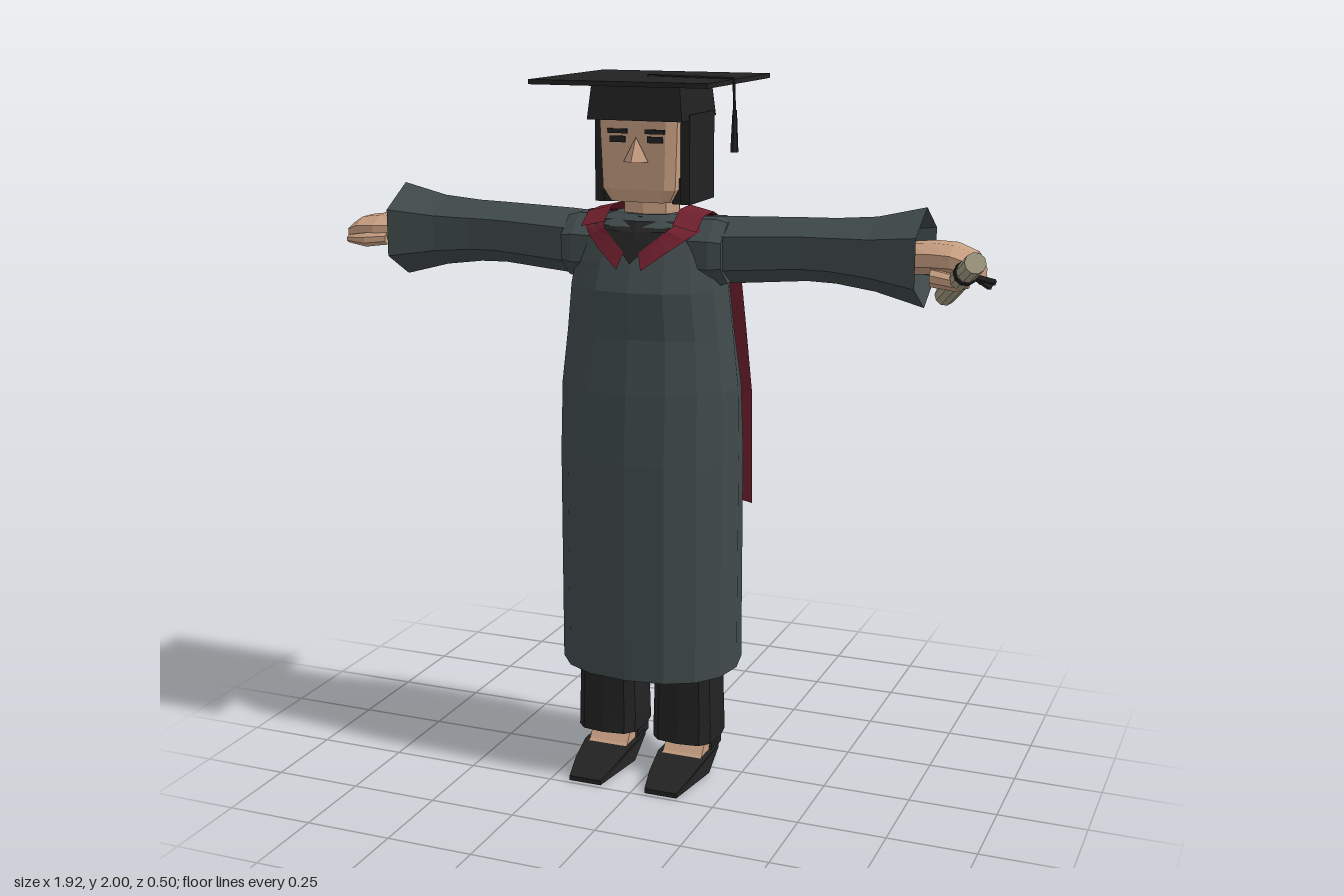
import * as THREE from 'three';

const CX = -0.03; // body centre line
const mat = (name, color, side = THREE.FrontSide) => {
  const m = new THREE.MeshStandardMaterial({ color, side });
  m.name = name;
  return m;
};

export function createModel() {
  const DS = THREE.DoubleSide;
  const robe = mat('gown grey', 0x404a4b, DS);
  const black = mat('black', 0x222222, DS);
  const red = mat('hood red', 0x6f1f2d, DS);
  const skin = mat('skin', 0xc79e81);
  const paper = mat('parchment', 0xa39c83);
  const model = new THREE.Group();

  // faceted mesh
  const add = (name, geo, m, parent = model) => {
    const g = geo.index ? geo.toNonIndexed() : geo;
    g.computeVertexNormals();
    const mesh = new THREE.Mesh(g, m);
    mesh.name = name;
    parent.add(mesh);
    return mesh;
  };
  const box = (name, m, x0, x1, y0, y1, z0, z1) => {
    const b = add(name, new THREE.BoxGeometry(x1 - x0, y1 - y0, z1 - z0), m);
    b.position.set((x0 + x1) / 2, (y0 + y1) / 2, (z0 + z1) / 2);
    return b;
  };
  // surface through rows of points; closed rows become a tube, caps optional
  const skinRows = (rows, closed, capStart, capEnd) => {
    const p = [];
    const tri = (...v) => v.forEach(q => p.push(...q));
    const n = rows[0].length;
    for (let i = 0; i < rows.length - 1; i++) {
      for (let j = 0; j < (closed ? n : n - 1); j++) {
        const k = (j + 1) % n;
        const a = rows[i][j], b = rows[i][k], c = rows[i + 1][k], d = rows[i + 1][j];
        tri(a, b, c);
        tri(a, c, d);
      }
    }
    const cap = (r, flip) => {
      const c = [0, 1, 2].map(i => r.reduce((s, q) => s + q[i], 0) / n);
      r.forEach((q, j) => (flip ? tri(c, r[(j + 1) % n], q) : tri(c, q, r[(j + 1) % n])));
    };
    if (capStart) cap(rows[0], true);
    if (capEnd) cap(rows[rows.length - 1], false);
    const g = new THREE.BufferGeometry();
    g.setAttribute('position', new THREE.Float32BufferAttribute(p, 3));
    return g;
  };
  const pw = (v, e) => Math.sign(v) * Math.abs(v) ** e;
  // upright ring: centre x, y, half width, front and back depth
  const ringY = (x, y, hx, zf, zb, n, e, turn = 0) => Array.from({ length: n }, (_, j) => {
    const t = ((j + turn) / n) * Math.PI * 2, c = pw(Math.cos(t), e);
    return [x + hx * pw(Math.sin(t), e), y, c * (c > 0 ? zf : zb)];
  });
  // ring across an arm: side, distance from the centre line, centre y and z, half sizes
  const ringX = (s, d, y, z, hy, hz, n, turn = 0) => Array.from({ length: n }, (_, j) => {
    const t = s * ((j + turn) / n) * Math.PI * 2;
    return [CX + s * d, y + hy * Math.cos(t), z + hz * Math.sin(t)];
  });

  // gown: y, half width, front depth, back depth
  const N = 2.3;
  const body = [
    [0.325, 0.26, 0.215, 0.21], [0.95, 0.26, 0.215, 0.2], [1.15, 0.256, 0.2, 0.17],
    [1.3, 0.24, 0.18, 0.125], [1.43, 0.225, 0.188, 0.12], [1.5, 0.215, 0.16, 0.115],
    [1.6, 0.19, 0.118, 0.1], [1.63, 0.1, 0.08, 0.075]];
  add('gown', skinRows(body.map(([y, w, f, b]) => ringY(CX, y, w, f, b, 16, 2 / N)), true, false, true), robe);
  // front depth of the gown at a point, for laying trim on it
  const chestZ = (x, y) => {
    const i = Math.max(0, body.findIndex(r => r[0] >= y) - 1);
    const a = body[i], b = body[i + 1], k = (y - a[0]) / (b[0] - a[0]);
    const w = a[1] + (b[1] - a[1]) * k, f = a[2] + (b[2] - a[2]) * k;
    return f * Math.max(0, 1 - Math.abs(x / w) ** N) ** (1 / N);
  };
  const trim = (name, m, edgeA, edgeB, lift) => {
    const at = ([p, q], k) => {
      const x = p[0] + (q[0] - p[0]) * k, y = p[1] + (q[1] - p[1]) * k;
      return [CX + x, y, chestZ(x, y) + lift];
    };
    const rows = [0, 0.25, 0.5, 0.75, 1].map(k => {
      const a = at(edgeA, k), b = at(edgeB, k);
      return [a, a.map((v, i) => (v + b[i]) / 2), b];
    });
    return add(name, skinRows(rows, false), m);
  };

  for (const s of [-1, 1]) {
    const side = s > 0 ? 'left' : 'right';
    // flared hexagonal sleeve
    const sleeve = [[0.13, 1.535, 0.085], [0.24, 1.535, 0.092], [0.45, 1.548, 0.086],
      [0.53, 1.548, 0.088], [0.64, 1.545, 0.1], [0.772, 1.543, 0.133]];
    add(side + 'Sleeve', skinRows(sleeve.map(([d, y, r]) => ringX(s, d, y, 0, r, r, 6)), true), robe);
    // shoulder seam piece
    add(side + 'Shoulder', skinRows([[0.13, 0.095], [0.2, 0.1], [0.235, 0.09]].map(
      ([d, r]) => ringX(s, d, 1.53, 0, r, r * 1.15, 8, 0.5)), true, false, true), robe);

    // hood strip on the chest and over the shoulder
    trim(side + 'HoodFront', red, [[s * 0.175, 1.595], [s * 0.035, 1.49]], [[s * 0.115, 1.615], [s * 0.022, 1.535]], 0.012);
    const over = [[1.6, 0.105], [1.637, 0.05], [1.64, -0.03], [1.61, -0.11]];
    add(side + 'HoodShoulder', skinRows(over.map(([y, z]) =>
      [[CX + s * 0.1, y + 0.008, z], [CX + s * 0.17, y - 0.008, z]]), false), red);
    trim(side + 'Neckline', black, [[s * 0.115, 1.615], [s * 0.008, 1.515]], [[0, 1.615], [0, 1.505]], 0.009);

    // trouser leg
    const lx = CX + s * 0.117;
    const leg = [[0.105, 0.096, 0.105, 0.085], [0.16, 0.096, 0.1, 0.08], [0.34, 0.09, 0.1, 0.075], [0.7, 0.09, 0.1, 0.075]];
    add(side + 'Trouser', skinRows(leg.map(([y, w, f, b]) => ringY(lx, y, w, f, b, 12, 0.6)), true, true, true), black);

    // foot and heeled shoe, drawn from the side
    const sideCut = (name, m, pts, width, taper) => {
      const shape = new THREE.Shape(pts.map(q => new THREE.Vector2(...q)));
      const g = new THREE.ExtrudeGeometry(shape, { depth: width, bevelEnabled: false });
      g.translate(0, 0, -width / 2).rotateY(-Math.PI / 2);
      const p = g.attributes.position;
      for (let i = 0; i < p.count; i++) p.setX(i, p.getX(i) * (1 - taper * Math.max(0, p.getZ(i) - 0.1) / 0.13));
      add(side + name, g, m).position.x = lx;
    };
    sideCut('Foot', skin, [[-0.07, 0.045], [0.03, 0.025], [0.1, 0.025], [0.06, 0.06], [0.015, 0.12], [-0.07, 0.12]], 0.12, 0);
    sideCut('ShoeToe', black, [[0.235, 0], [0.235, 0.014], [0.16, 0.035], [0.06, 0.055], [0.0, 0.055], [-0.04, 0.065], [-0.04, 0.05], [0.04, 0]], 0.152, 0.35);
    sideCut('ShoeHeelCup', black, [[0.0, 0.055], [-0.01, 0.095], [-0.087, 0.1], [-0.085, 0.05], [-0.02, 0.045]], 0.135, 0);
    sideCut('ShoeHeel', black, [[-0.042, 0], [-0.038, 0.06], [-0.085, 0.06], [-0.078, 0]], 0.075, 0);
  }

  // hood hanging down the back: y, half width, centre z, edge z
  const cape = [[1.62, 0.165, -0.09, -0.06], [1.605, 0.19, -0.168, -0.112], [1.54, 0.212, -0.15, -0.112],
    [1.31, 0.235, -0.19, -0.12], [1.1, 0.248, -0.228, -0.145], [0.775, 0.25, -0.23, -0.15]];
  add('hoodBack', skinRows(cape.map(([y, w, zc, ze]) => [-1, -0.7, -0.3, 0.3, 0.7, 1].map(
    u => [CX + u * w, y, zc + (ze - zc) * u * u])), false), red);

  // neck, collar and head
  add('collar', skinRows([[1.58, 0.12, 0.1], [1.625, 0.105, 0.088]].map(
    ([y, w, d]) => ringY(CX, y, w, d, d, 10, 1)), true, false, true), black);
  add('neck', skinRows([1.6, 1.71].map(y => ringY(CX, y, 0.08, 0.07, 0.07, 8, 0.8)), true), skin);
  add('face', skinRows([[1.665, 0.085, 0.102], [1.7, 0.105, 0.112], [1.9, 0.113, 0.115]].map(
    ([y, w, z]) => [[-w, 0], [-w, z - 0.015], [-w * 0.75, z], [w * 0.75, z], [w, z - 0.015], [w, 0]]
      .map(([x, d]) => [CX + x, y, d])), true, true, true), skin);
  box('hairBack', black, CX - 0.138, CX + 0.138, 1.66, 1.9, -0.115, 0.0);
  for (const s of [-1, 1]) {
    const hair = (name, a, b, y0, y1, z1) => box(name, black, CX + Math.min(s * a, s * b), CX + Math.max(s * a, s * b), y0, y1, -0.02, z1);
    hair('sideHair', 0.112, 0.138, 1.66, 1.9, 0.075);
    hair('lowerSideHair', 0.086, 0.136, 1.66, 1.73, 0.07);
    // eye and brow plates
    const ex = CX + s * 0.054;
    box('eye', black, ex - 0.022, ex + 0.022, 1.826, 1.843, 0.112, 0.118);
    box('brow', black, ex - 0.028, ex + 0.028, 1.85, 1.862, 0.112, 0.12);
  }
  const nose = add('nose', new THREE.ConeGeometry(0.036, 0.066, 4), skin);
  nose.position.set(CX, 1.808, 0.118);

  // mortarboard and tassel
  add('capBand', skinRows([[1.885, 0.137, 0.131], [1.985, 0.126, 0.122]].map(([y, w, d]) =>
    [[-w, d], [w, d], [w, -d], [-w, -d]].map(([x, z]) => [CX + x, y, z])), true, true, true), black);
  box('capBoard', black, CX - 0.252, CX + 0.252, 1.982, 1.995, -0.25, 0.25);
  const button = add('capButton', new THREE.CylinderGeometry(0.014, 0.016, 0.008, 8), black);
  button.position.set(CX, 1.996, 0);
  const cord = new THREE.CurvePath();
  const path = [[CX, 1.997, 0], [0.226, 1.997, 0.06], [0.229, 1.91, 0.06]].map(p => new THREE.Vector3(...p));
  cord.add(new THREE.LineCurve3(path[0], path[1]));
  cord.add(new THREE.LineCurve3(path[1], path[2]));
  add('tasselCord', new THREE.TubeGeometry(cord, 24, 0.004, 5), black);
  add('tassel', new THREE.CylinderGeometry(0.006, 0.011, 0.11, 6), black).position.set(0.229, 1.86, 0.06);

  // hands: distance out, centre y, centre z, half height, half depth
  const hand = (name, s, rings) =>
    add(name, skinRows(rings.map(r => ringX(s, ...r, 8, 0.5)), true, true, true), skin);
  hand('rightHand', -1, [[0.72, 1.54, 0, 0.045, 0.055], [0.79, 1.54, 0, 0.045, 0.075],
    [0.84, 1.54, 0, 0.045, 0.09], [0.9, 1.537, 0, 0.04, 0.085], [0.935, 1.53, 0, 0.025, 0.065]]);
  hand('rightThumb', -1, [[0.8, 1.52, 0.06, 0.02, 0.025], [0.86, 1.515, 0.078, 0.022, 0.024], [0.92, 1.515, 0.078, 0.012, 0.016]]);
  hand('leftHand', 1, [[0.72, 1.54, 0, 0.045, 0.055], [0.79, 1.545, -0.01, 0.045, 0.075],
    [0.85, 1.545, -0.01, 0.042, 0.085], [0.905, 1.53, -0.01, 0.035, 0.078], [0.922, 1.505, -0.01, 0.025, 0.06]]);
  hand('leftThumb', 1, [[0.8, 1.5, 0.05, 0.025, 0.025], [0.87, 1.49, 0.055, 0.022, 0.022], [0.9, 1.49, 0.05, 0.012, 0.014]]);

  // rolled diploma with a tied ribbon
  const a = new THREE.Vector3(0.775, 1.43, -0.095), b = new THREE.Vector3(0.917, 1.57, 0.205);
  const diploma = new THREE.Group();
  diploma.name = 'diploma';
  diploma.position.lerpVectors(a, b, 0.5);
  const axis = b.clone().sub(a);
  diploma.quaternion.setFromUnitVectors(new THREE.Vector3(0, 1, 0), axis.clone().normalize());
  model.add(diploma);
  add('scroll', new THREE.CylinderGeometry(0.028, 0.028, axis.length(), 10), paper, diploma);
  add('ribbon', new THREE.CylinderGeometry(0.032, 0.032, 0.022, 10), black, diploma).position.y = 0.075;
  for (const s of [-1, 1]) {
    const bow = add('ribbonBow', new THREE.BoxGeometry(0.055, 0.014, 0.012), black, diploma);
    bow.position.set(0.05, 0.075 + s * 0.014, 0);
    bow.rotation.z = s * 0.5;
  }
  return model;
}
